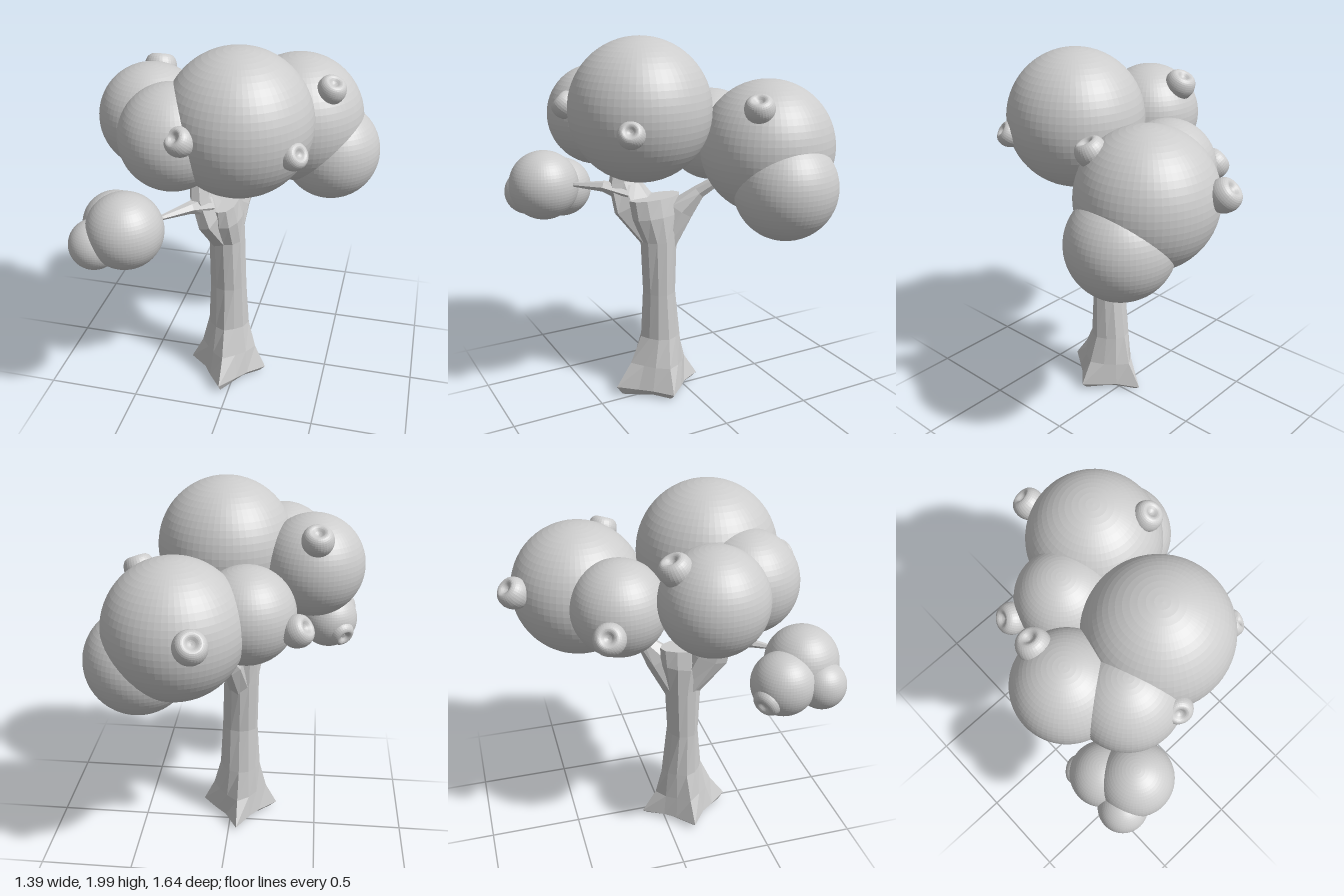
import * as THREE from 'three';

const grey = new THREE.MeshStandardMaterial({ color: 0xcccccc, flatShading: true });
grey.name = 'pale grey';

// Capped loft through sections [x, y, z, radiusU, radiusV, lobe]; lobe makes four root ridges
function loft(sections, sides, ref, wobble = 0) {
  const pts = sections.map(s => new THREE.Vector3(s[0], s[1], s[2]));
  const pos = [], idx = [], n = sections.length;
  sections.forEach(([, , , ru, rv, lobe = 0], i) => {
    const t = pts[Math.min(i + 1, n - 1)].clone().sub(pts[Math.max(i - 1, 0)]).normalize();
    const u = t.clone().cross(ref).normalize(), v = t.clone().cross(u);
    for (let j = 0; j < sides; j++) {
      const a = j / sides * Math.PI * 2;
      const k = 1 - lobe * (1 - Math.cos(4 * a)) / 2 + wobble * Math.sin(i * 5.1 + j * 2.7);
      const p = pts[i].clone().addScaledVector(u, Math.cos(a) * ru * k)
        .addScaledVector(v, Math.sin(a) * rv * k);
      pos.push(p.x, p.y, p.z);
    }
  });
  const first = n * sides, last = first + 1;
  for (const p of [pts[0], pts[n - 1]]) pos.push(p.x, p.y, p.z);
  for (let j = 0; j < sides; j++) {
    const k = (j + 1) % sides, top = (n - 1) * sides;
    for (let i = 0; i < n - 1; i++) {
      const a = i * sides + j, b = i * sides + k;
      idx.push(a, b, b + sides, a, b + sides, a + sides);
    }
    idx.push(first, k, j, last, top + j, top + k);
  }
  const g = new THREE.BufferGeometry();
  g.setAttribute('position', new THREE.Float32BufferAttribute(pos, 3));
  g.setIndex(idx);
  g.computeVertexNormals();
  return g;
}

export function createModel() {
  const model = new THREE.Group();
  const add = (name, geometry) => {
    const m = new THREE.Mesh(geometry, grey);
    m.name = name;
    model.add(m);
    return m;
  };
  const X = new THREE.Vector3(1, 0, 0), Y = new THREE.Vector3(0, 1, 0), Z = new THREE.Vector3(0, 0, 1);

  // Trunk with flared, ridged roots
  add('trunk', loft([
    [-0.045, 0.015, 0.14, 0.18, 0.22, 0.5],
    [-0.045, 0.05, 0.14, 0.22, 0.255, 0.45],
    [-0.045, 0.18, 0.13, 0.155, 0.17, 0.24],
    [-0.05, 0.34, 0.115, 0.115, 0.115, 0.08],
    [-0.05, 0.6, 0.12, 0.1, 0.087],
    [-0.055, 0.9, 0.115, 0.098, 0.1],
    [-0.06, 1.04, 0.13, 0.095, 0.14],
    [-0.06, 1.14, 0.135, 0.075, 0.15],
  ], 12, Z, 0.025));

  // Branches forking into the crown
  add('frontBranch', loft([
    [-0.075, 0.9, 0.13, 0.08, 0.07], [-0.12, 1.1, 0.235, 0.12, 0.065],
    [-0.155, 1.22, 0.27, 0.09, 0.05], [-0.17, 1.42, 0.26, 0.05, 0.035],
  ], 7, X));
  add('backBranch', loft([
    [-0.05, 0.86, 0.1, 0.08, 0.07], [-0.015, 1.06, 0.0, 0.085, 0.06],
    [0.03, 1.16, -0.09, 0.04, 0.035], [0.12, 1.28, -0.25, 0.02, 0.02],
  ], 7, X));
  add('twig', loft([
    [-0.13, 1.16, 0.26, 0.06, 0.06], [-0.18, 1.2, 0.38, 0.035, 0.03],
    [-0.28, 1.2, 0.5, 0.015, 0.013], [-0.38, 1.19, 0.58, 0.008, 0.008],
  ], 6, Y));

  // Foliage balls [x, y, z, radius]
  const balls = [
    [0.045, 1.635, 0.262, 0.365], [0.235, 1.416, -0.385, 0.355],
    [0.42, 1.235, -0.38, 0.272], [-0.425, 1.578, 0.148, 0.27],
    [-0.255, 1.577, 0.372, 0.263], [-0.105, 1.44, -0.24, 0.25],
    [-0.43, 1.18, 0.627, 0.19], [-0.53, 1.13, 0.49, 0.165],
    [-0.57, 1.115, 0.68, 0.125],
  ];
  for (const [x, y, z, r] of balls) {
    add('foliage', new THREE.SphereGeometry(r, 64, 32)).position.set(x, y, z);
  }

  // Small softly dimpled buds [x, y, z, radius, index of the ball each grows from, upward tilt]
  const profile = new THREE.SplineCurve([[0, -1], [0.45, -0.88], [0.8, -0.55], [0.96, -0.1],
    [0.95, 0.25], [0.82, 0.57], [0.6, 0.74], [0.4, 0.71], [0.2, 0.55], [0, 0.47]]
    .map(p => new THREE.Vector2(...p))).getPoints(24);
  const budShape = new THREE.LatheGeometry(profile, 32);
  const buds = [
    [-0.15, 1.655, 0.585, 0.073, 0, 0.8], [0.345, 1.575, 0.45, 0.07, 0, 0.8],
    [0.425, 1.655, -0.205, 0.08, 1, 0.8], [0.105, 1.485, -0.735, 0.085, 1, 0.8],
    [-0.36, 1.41, -0.345, 0.085, 5, 0.8], [-0.44, 1.765, -0.045, 0.085, 3, 0.8],
    [-0.595, 1.09, 0.395, 0.08, 7, 0],
  ];
  for (const [x, y, z, r, from, tilt] of buds) {
    const bud = add('bud', budShape);
    const axis = new THREE.Vector3(x, y, z).sub(new THREE.Vector3(...balls[from])).normalize();
    axis.y += tilt;
    bud.quaternion.setFromUnitVectors(Y, axis.normalize());
    bud.position.set(x, y, z);
    bud.scale.setScalar(r);
  }
  return model;
}
